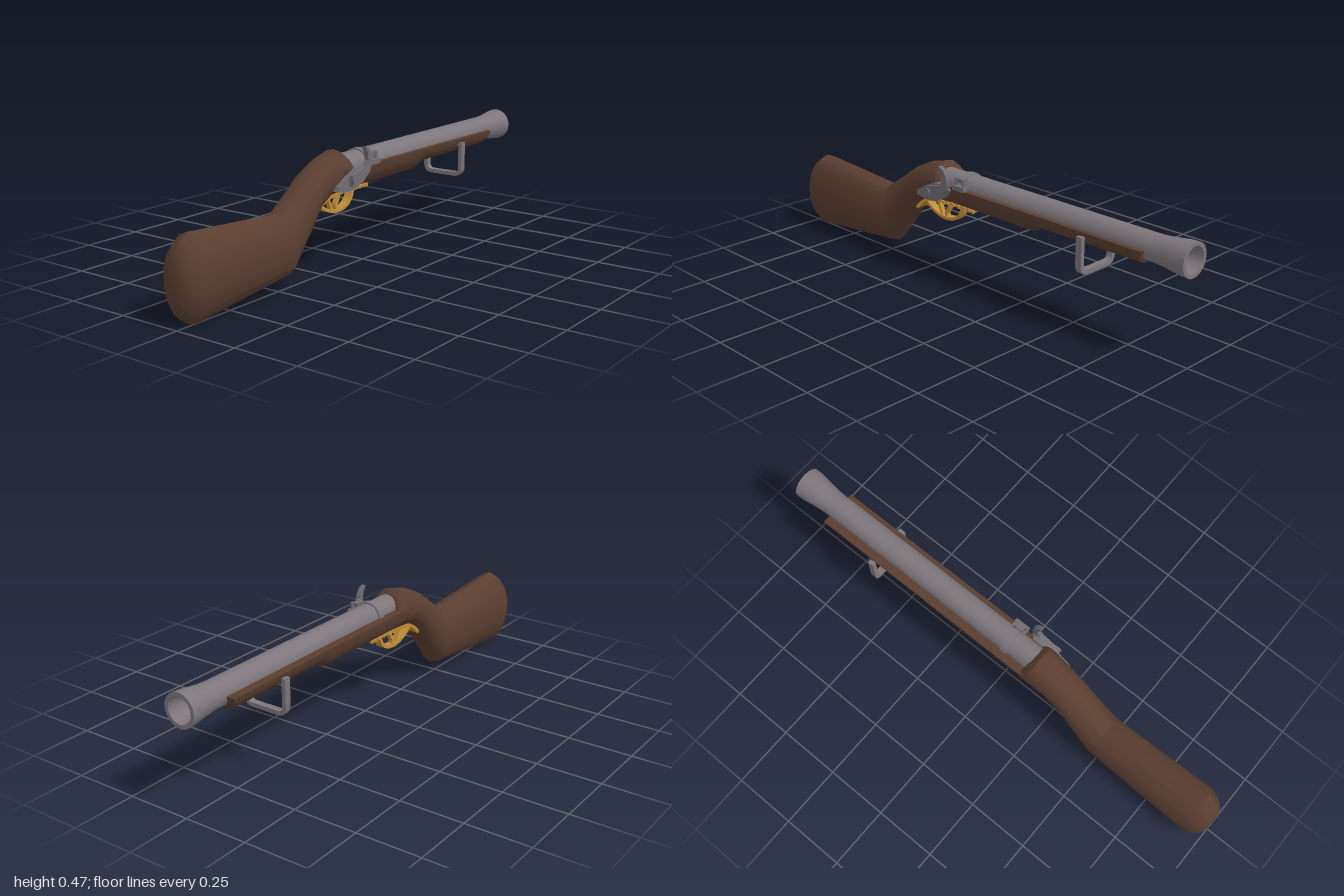
import * as THREE from 'three';
import { toCreasedNormals } from 'three/addons/utils/BufferGeometryUtils.js';

const mat = (name, color) => {
  const m = new THREE.MeshStandardMaterial({ color });
  m.name = name;
  return m;
};

// Skin rings of [topX, topY, bottomX, bottomY, halfWidth] along x.
// section lists [u, v]: u across z (-1..1), v from bottom (0) to top (1).
function loft(rings, section, zc) {
  const pos = [], idx = [], n = section.length;
  for (const [tx, ty, bx, by, w] of rings)
    for (const [u, v] of section)
      pos.push(bx + (tx - bx) * v, by + (ty - by) * v, zc + u * w);
  for (let i = 0; i < rings.length - 1; i++)
    for (let j = 0; j < n; j++) {
      const a = i * n + j, b = i * n + (j + 1) % n;
      idx.push(a, a + n, b, b, a + n, b + n);
    }
  // end caps
  for (const r of [0, rings.length - 1]) {
    const [tx, ty, bx, by] = rings[r];
    const c = pos.length / 3;
    pos.push((tx + bx) / 2, (ty + by) / 2, zc);
    for (let j = 0; j < n; j++) {
      const a = r * n + j, b = r * n + (j + 1) % n;
      if (r === 0) idx.push(c, a, b);
      else idx.push(c, b, a);
    }
  }
  const g = new THREE.BufferGeometry();
  g.setAttribute('position', new THREE.Float32BufferAttribute(pos, 3));
  g.setIndex(idx);
  return toCreasedNormals(g, 0.6);
}

// Extrude an outline in xy, centred on z
function plate(points, depth) {
  const g = new THREE.ExtrudeGeometry(new THREE.Shape(points), { depth, bevelEnabled: false });
  g.translate(0, 0, -depth / 2);
  return toCreasedNormals(g, 0.6);
}

const v2 = (list) => list.map(([x, y]) => new THREE.Vector2(x, y));

// Bent strip of even thickness that follows a path in xy
function strip(path, thick, depth) {
  const left = [], right = [];
  path.forEach((p, i) => {
    const a = path[Math.max(i - 1, 0)], b = path[Math.min(i + 1, path.length - 1)];
    const t = b.clone().sub(a).normalize().multiplyScalar(thick / 2);
    left.push(new THREE.Vector2(p.x - t.y, p.y + t.x));
    right.unshift(new THREE.Vector2(p.x + t.y, p.y - t.x));
  });
  return plate([...left, ...right], depth);
}

const smooth = (list, n) => new THREE.SplineCurve(v2(list)).getPoints(n);

export function createModel() {
  const model = new THREE.Group();
  const wood = mat('walnut', 0x5a3e30);
  const steel = mat('steel', 0x7d767b);
  const iron = mat('lock iron', 0x6f6c72);
  const brass = mat('brass', 0xc08d38);
  const ZC = -0.007;

  const add = (name, geo, material, x = 0, y = 0, z = 0, parent = model) => {
    const m = new THREE.Mesh(geo, material);
    m.name = name;
    m.position.set(x, y, z);
    parent.add(m);
    return m;
  };

  // Butt, wrist and breech
  const oval = Array.from({ length: 14 }, (_, i) => {
    const a = -Math.PI / 2 + (i / 14) * Math.PI * 2;
    return [Math.cos(a), 0.5 + Math.sin(a) / 2];
  });
  add('buttStock', loft([
    [-1, 0.215, -1, 0.095, 0.03],
    [-0.992, 0.25, -0.992, 0.06, 0.052],
    [-0.972, 0.285, -0.972, 0.028, 0.073],
    [-0.93, 0.315, -0.93, 0.002, 0.089],
    [-0.5, 0.285, -0.46, 0.052, 0.08],
    [-0.41, 0.345, -0.37, 0.165, 0.075],
    [-0.33, 0.402, -0.30, 0.258, 0.072],
    [-0.25, 0.44, -0.24, 0.295, 0.073],
    [-0.17, 0.461, -0.16, 0.302, 0.078],
    [-0.15, 0.447, -0.13, 0.303, 0.076],
    [-0.138, 0.425, -0.11, 0.305, 0.07],
  ], oval, ZC), wood);

  // Fore stock, rounded below and flat on top
  const trough = Array.from({ length: 11 }, (_, i) => {
    const a = Math.PI + (i / 10) * Math.PI;
    return [Math.cos(a), 1 + Math.sin(a)];
  });
  add('foreStock', loft([
    [-0.2, 0.392, -0.2, 0.303, 0.076],
    [0.31, 0.392, 0.31, 0.302, 0.076],
    [0.34, 0.392, 0.34, 0.325, 0.076],
    [0.835, 0.39, 0.81, 0.328, 0.076],
  ], trough, ZC), wood);

  // Barrel with flared muzzle and hollow bore
  const barrel = new THREE.LatheGeometry(v2([
    [0, -0.16], [0.05, -0.16], [0.05, 0.86], [0.052, 0.89], [0.057, 0.93],
    [0.0625, 0.97], [0.0635, 1], [0.049, 1], [0.046, 0.97], [0.024, 0.88],
    [0.024, 0.6], [0, 0.6],
  ]), 20);
  barrel.rotateZ(-Math.PI / 2);
  add('barrel', toCreasedNormals(barrel, 0.6), steel, 0, 0.39, 0);
  const half = new THREE.CircleGeometry(0.024, 16, Math.PI, Math.PI);
  half.rotateY(Math.PI / 2);
  add('boreBottom', half, wood, 0.602, 0.39, 0);

  // Breech band
  const band = new THREE.CylinderGeometry(0.056, 0.056, 0.026, 20);
  band.rotateZ(Math.PI / 2);
  add('breechBand', band, steel, -0.03, 0.39, 0);

  // Lock on the front side
  const lock = new THREE.Group();
  lock.name = 'lock';
  model.add(lock);
  add('lockPlate', plate(v2([
    [-0.252, 0.325], [-0.245, 0.345], [-0.2, 0.372], [-0.15, 0.395], [-0.085, 0.395],
    [-0.066, 0.38], [-0.09, 0.35], [-0.14, 0.322], [-0.19, 0.315],
  ]), 0.024), iron, 0, 0, 0.066, lock);
  add('hammer', plate(v2([
    [-0.185, 0.335], [-0.165, 0.328], [-0.12, 0.342], [-0.078, 0.375], [-0.065, 0.41],
    [-0.07, 0.44], [-0.088, 0.464], [-0.108, 0.473], [-0.092, 0.445], [-0.09, 0.418],
    [-0.105, 0.396], [-0.14, 0.388], [-0.185, 0.375],
  ]), 0.018), iron, 0, 0, 0.084, lock);
  const screw = new THREE.CylinderGeometry(0.015, 0.015, 0.012, 12);
  screw.rotateX(Math.PI / 2);
  add('hammerScrew', screw, iron, -0.172, 0.356, 0.093, lock);
  add('pan', new THREE.BoxGeometry(0.06, 0.018, 0.032), iron, -0.022, 0.4, 0.062, lock);
  add('panCover', new THREE.BoxGeometry(0.04, 0.016, 0.026), iron, -0.024, 0.428, 0.052, lock);
  const pin = new THREE.CylinderGeometry(0.008, 0.008, 0.05, 10);
  for (const x of [-0.042, -0.004])
    add('panPin', pin, iron, x, 0.412, 0.062, lock);

  // Trigger guard with a scalloped plate
  const guard = new THREE.Group();
  guard.name = 'triggerGuard';
  model.add(guard);
  const run = smooth([[-0.312, 0.242], [-0.275, 0.275], [-0.235, 0.292], [-0.16, 0.299], [0, 0.3]], 24);
  add('guardPlate', strip(run, 0.012, 0.05), brass, 0, 0, ZC, guard);
  const scallop = new THREE.CylinderGeometry(0.008, 0.008, 0.012, 8);
  run.forEach((p, i) => {
    const q = run[Math.min(i + 1, 24)], o = run[Math.max(i - 1, 0)];
    for (const s of [-1, 1])
      add('scallop', scallop, brass, p.x, p.y, ZC + s * 0.024, guard)
        .rotation.z = Math.atan2(q.y - o.y, q.x - o.x);
  });
  add('guardBow', strip(smooth([
    [-0.275, 0.272], [-0.24, 0.25], [-0.2, 0.234], [-0.16, 0.229], [-0.115, 0.237],
    [-0.085, 0.26], [-0.068, 0.298],
  ], 24), 0.012, 0.032), brass, 0, 0, ZC, guard);

  // Trigger and its rear spur
  add('trigger', strip(smooth([[-0.145, 0.3], [-0.152, 0.272], [-0.166, 0.25], [-0.162, 0.232]], 8),
    0.013, 0.018), brass, 0, 0, ZC, guard);
  add('triggerSpur', strip(smooth([[-0.215, 0.295], [-0.205, 0.268], [-0.187, 0.232]], 8),
    0.01, 0.018), brass, 0, 0, ZC, guard);

  // Sling loop below the fore stock
  const side = [[0.084, 0.377], [0.084, 0.265], [0.08, 0.254], [0.072, 0.246], [0.06, 0.243]];
  const loop = strip(v2([...side, ...side.map(([x, y]) => [-x, y]).reverse()]), 0.016, 0.026);
  loop.rotateY(Math.PI / 2);
  add('slingLoop', loop, steel, 0.585, 0, -0.006);
  const bar = new THREE.CylinderGeometry(0.008, 0.008, 0.176, 10);
  bar.rotateX(Math.PI / 2);
  add('slingBar', bar, steel, 0.585, 0.368, -0.006);

  return model;
}
